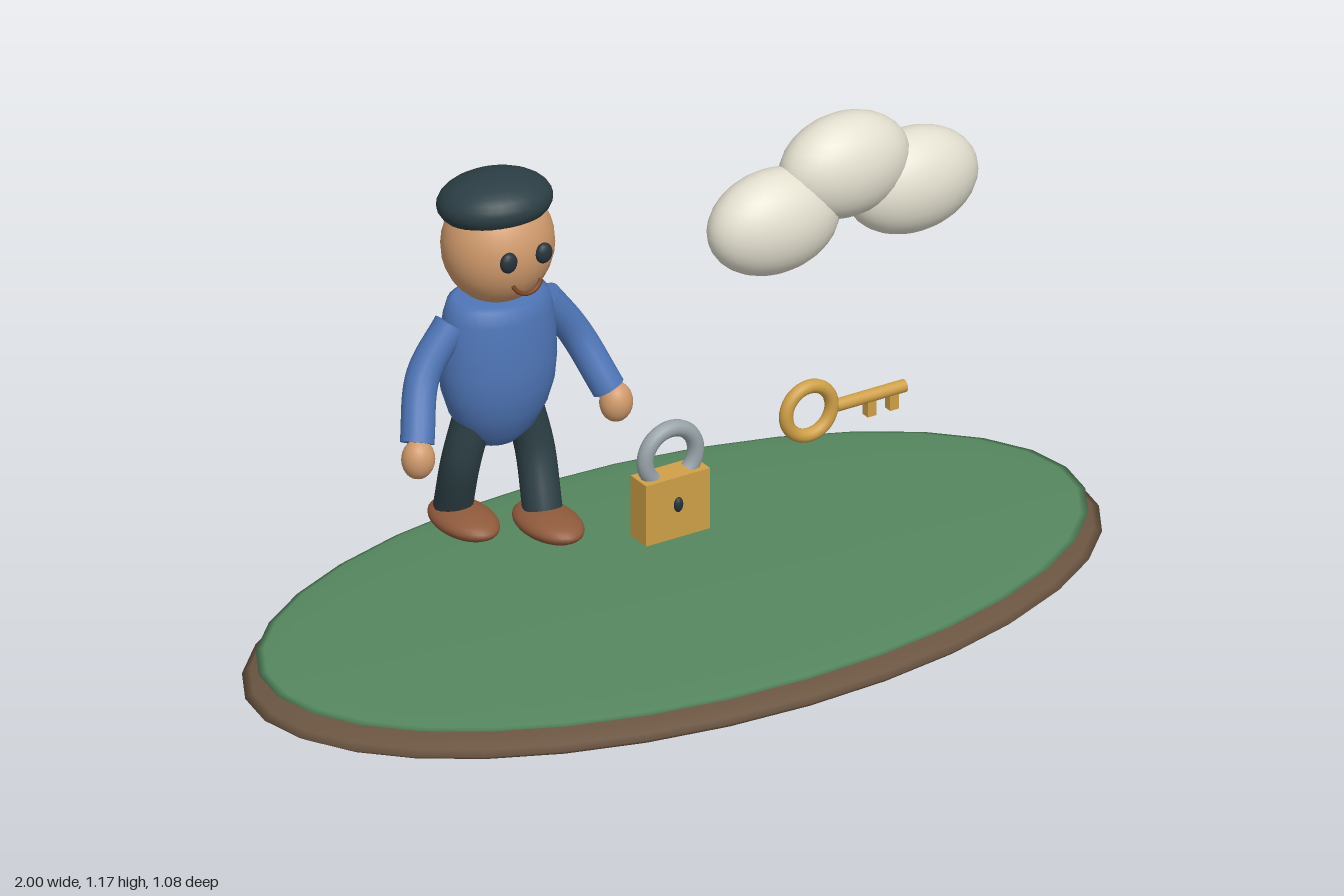
import * as THREE from 'three';

const mat = (color) => new THREE.MeshStandardMaterial({ color, side: THREE.DoubleSide });
const M = {
  earth: mat(0x6b5542), grass: mat(0x55875f), cloth: mat(0x4f76b8), skin: mat(0xd09a6c),
  dark: mat(0x2c3f45), eye: mat(0x26323a), shoe: mat(0x8f5a3c), smile: mat(0x7a4526),
  cloud: mat(0xe4e0d0), gold: mat(0xcfa047), steel: mat(0x98a3a8),
};

function add(parent, name, geometry, material, x = 0, y = 0, z = 0) {
  const mesh = new THREE.Mesh(geometry, material);
  mesh.name = name;
  mesh.position.set(x, y, z);
  parent.add(mesh);
  return mesh;
}

function ellipsoid(parent, name, material, [x, y, z], [rx, ry, rz], seg = 32) {
  const geometry = new THREE.SphereGeometry(1, seg, seg / 2).scale(rx, ry, rz);
  return add(parent, name, geometry, material, x, y, z);
}

// Curved limb with flat closed ends
function limb(parent, name, material, points, radius) {
  const curve = new THREE.CatmullRomCurve3(points.map((p) => new THREE.Vector3(...p)));
  const group = new THREE.Group();
  group.name = name;
  parent.add(group);
  add(group, name + 'Tube', new THREE.TubeGeometry(curve, 20, radius, 16), material);
  for (const t of [0, 1]) {
    const end = add(group, name + 'End', new THREE.CircleGeometry(radius, 16), material);
    end.position.copy(curve.getPoint(t));
    const out = curve.getTangent(t).multiplyScalar(t ? 1 : -1);
    end.quaternion.setFromUnitVectors(new THREE.Vector3(0, 0, 1), out);
  }
}

function buildFigure() {
  const g = new THREE.Group();
  g.name = 'walkingFigure';

  // Torso: egg shape with a flat neck line
  const profile = [[0, 0.55], [0.045, 0.558], [0.083, 0.59], [0.112, 0.64], [0.128, 0.69],
    [0.133, 0.74], [0.131, 0.8], [0.124, 0.86], [0.114, 0.893], [0.098, 0.9], [0, 0.9]];
  const torso = new THREE.LatheGeometry(profile.map((p) => new THREE.Vector2(...p)), 32);
  add(g, 'torso', torso.scale(1, 1, 0.72), M.cloth);

  // Head, cap and face
  ellipsoid(g, 'head', M.skin, [0, 1.015, 0], [0.122, 0.13, 0.113]);
  ellipsoid(g, 'cap', M.dark, [0, 1.108, -0.012], [0.125, 0.062, 0.114]).rotation.x = -0.14;
  const smile = add(g, 'smile', new THREE.TorusGeometry(0.037, 0.005, 8, 20, Math.PI * 0.75),
    M.smile, 0, 0.982, 0.11);
  smile.rotation.set(-0.25, 0, Math.PI * 1.125);

  // Mirrored limbs; the left leg steps forward
  for (const s of [1, -1]) {
    const side = s > 0 ? 'left' : 'right';
    ellipsoid(g, side + 'Eye', M.eye, [s * 0.043, 1.024, 0.11], [0.02, 0.023, 0.013], 20);
    limb(g, side + 'Arm', M.cloth,
      [[s * 0.115, 0.855, 0], [s * 0.187, 0.755, 0.005], [s * 0.235, 0.635, 0.058]], 0.036);
    ellipsoid(g, side + 'Hand', M.skin, [s * 0.243, 0.608, 0.075], [0.036, 0.044, 0.034], 24);
    limb(g, side + 'Leg', M.dark,
      [[s * 0.06, 0.63, 0], [s * 0.082, 0.52, s * 0.014], [s * 0.074, 0.398, s * 0.056]], 0.042);
    ellipsoid(g, side + 'Shoe', M.shoe, [s * 0.07, 0.38, 0.032 + s * 0.053], [0.063, 0.03, 0.1]);
  }
  g.position.x = -0.428;
  return g;
}

function buildPadlock() {
  const g = new THREE.Group();
  g.name = 'padlock';
  add(g, 'lockBody', new THREE.BoxGeometry(0.157, 0.14, 0.06), M.gold, 0, 0.292, 0);
  ellipsoid(g, 'keyhole', M.eye, [0, 0.299, 0.031], [0.011, 0.017, 0.008], 16);
  const shackle = add(g, 'shackle', new THREE.TorusGeometry(0.062, 0.018, 14, 36, Math.PI * 1.5),
    M.steel, 0, 0.4, 0);
  shackle.rotation.z = -Math.PI / 4;
  g.position.x = -0.004;
  return g;
}

function buildKey() {
  const g = new THREE.Group();
  g.name = 'key';
  add(g, 'bow', new THREE.TorusGeometry(0.056, 0.015, 14, 36), M.gold, 0.336, 0.41, 0);
  const shaft = add(g, 'shaft', new THREE.CylinderGeometry(0.014, 0.014, 0.17, 16), M.gold, 0.486, 0.404, 0);
  shaft.rotation.z = Math.PI / 2;
  for (const x of [0.485, 0.54]) {
    add(g, 'tooth', new THREE.BoxGeometry(0.021, 0.042, 0.02), M.gold, x, 0.381, 0);
  }
  return g;
}

export function createModel() {
  const model = new THREE.Group();
  model.name = 'scene';

  // Floating island: earth lens with a thinner grass lens on top
  ellipsoid(model, 'earth', M.earth, [0, 0.057, 0], [1, 0.055, 0.542]);
  ellipsoid(model, 'grass', M.grass, [0, 0.105, 0], [0.968, 0.017, 0.524]);

  model.add(buildFigure(), buildPadlock(), buildKey());

  // Cloud of three overlapping puffs
  const cloud = new THREE.Group();
  cloud.name = 'cloud';
  for (const [x, y, rx] of [[0.249, 0.876, 0.154], [0.423, 0.96, 0.152], [0.587, 0.88, 0.155]]) {
    ellipsoid(cloud, 'puff', M.cloud, [x, y, 0], [rx, 0.115, 0.091]);
  }
  model.add(cloud);
  return model;
}
